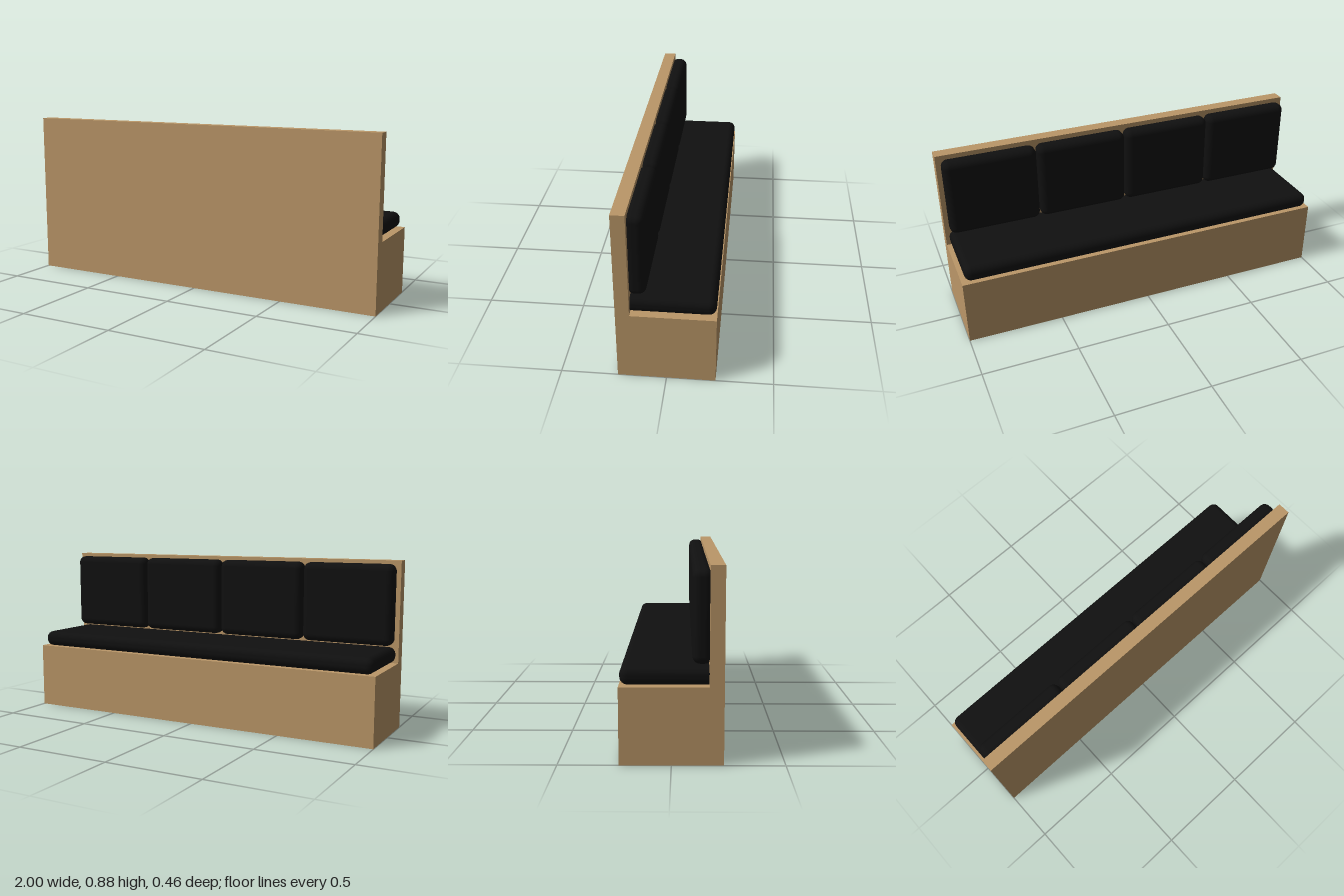
import * as THREE from 'three';
import { RoundedBoxGeometry } from 'three/addons/geometries/RoundedBoxGeometry.js';

export function createModel() {
  const bench = new THREE.Group();
  bench.name = 'bench';

  const wood = new THREE.MeshStandardMaterial({ color: 0xbb9768 });
  wood.name = 'wood';
  const fabric = new THREE.MeshStandardMaterial({ color: 0x101010 });
  fabric.name = 'black fabric';

  // L-shaped frame: side profile (z, y) extruded along the length
  const profile = new THREE.Shape([
    [-0.23, 0], [0.23, 0], [0.23, 0.875], [0.165, 0.875], [0.165, 0.35], [-0.23, 0.35],
  ].map(([z, y]) => new THREE.Vector2(-z, y)));
  const frameGeometry = new THREE.ExtrudeGeometry(profile, { depth: 2, bevelEnabled: false });
  frameGeometry.translate(0, 0, -1).rotateY(Math.PI / 2);
  const frame = new THREE.Mesh(frameGeometry, wood);
  frame.name = 'frame';
  bench.add(frame);

  // Soft cushion spanning the given bounds
  function addCushion(name, [x0, x1], [y0, y1], [z0, z1], radius) {
    const geometry = new RoundedBoxGeometry(x1 - x0, y1 - y0, z1 - z0, 5, radius);
    const cushion = new THREE.Mesh(geometry, fabric);
    cushion.name = name;
    cushion.position.set((x0 + x1) / 2, (y0 + y1) / 2, (z0 + z1) / 2);
    bench.add(cushion);
  }

  // One long seat cushion, its rear edge tucked into the backrest
  addCushion('seatCushion', [-0.985, 0.981], [0.351, 0.433], [-0.227, 0.192], 0.036);

  // Row of four back cushions
  const pitch = 0.491;
  for (let i = 0; i < 4; i++) {
    const x = -0.002 + (i - 1.5) * pitch;
    addCushion('backCushion' + (i + 1), [x - 0.243, x + 0.243], [0.443, 0.858], [0.09, 0.178], 0.036);
  }

  return bench;
}
